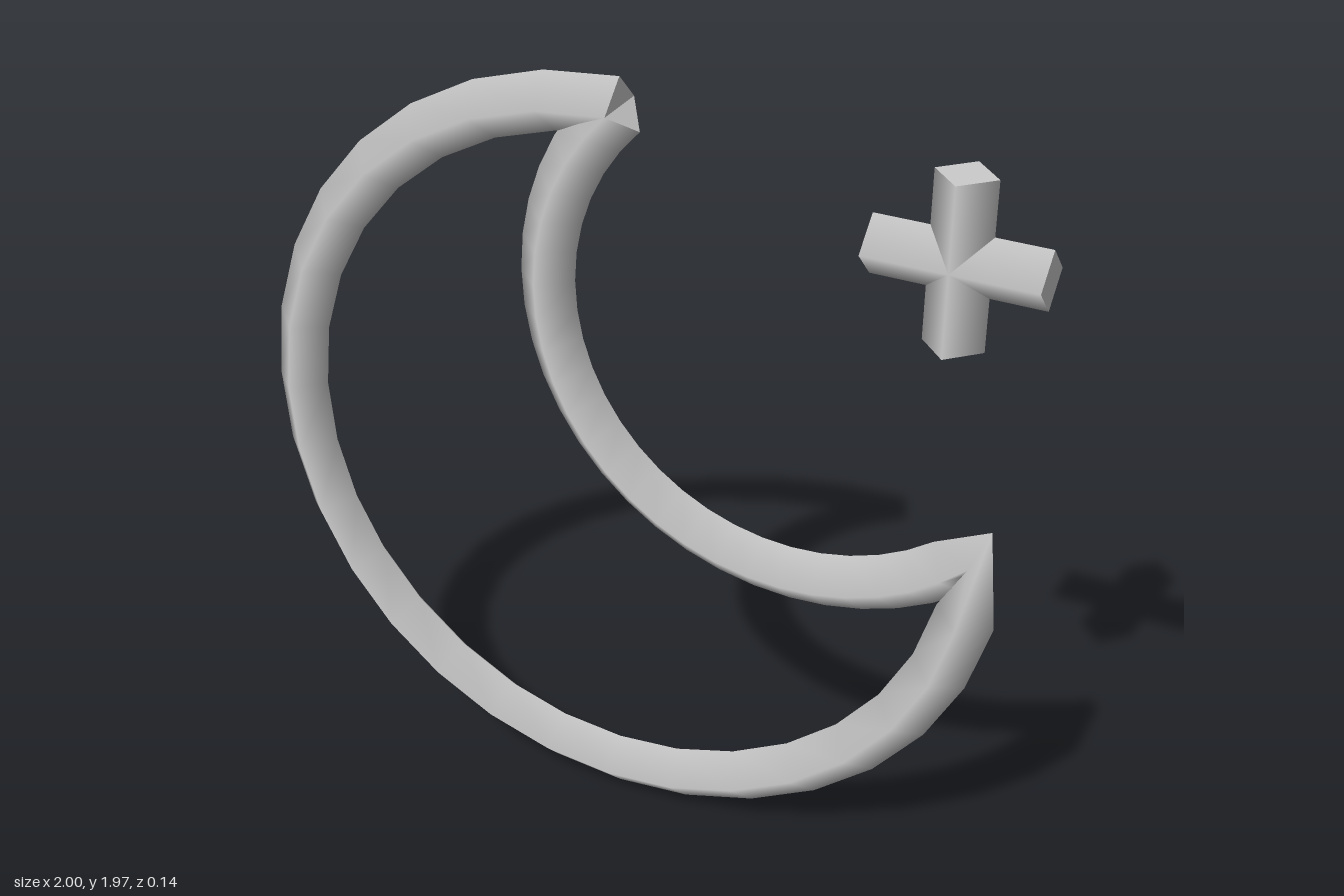
import * as THREE from 'three';

const R = 0.072; // bar radius (four-sided section)

// Crescent path: three-quarter outer arc, then half-circle inner arc
class CrescentCurve extends THREE.Curve {
  angle(u) {
    return u <= 0.5 ? Math.PI * (0.5 + 3 * u) : -Math.PI * (0.25 + (u - 0.5) * 2);
  }
  getPoint(u, target = new THREE.Vector3()) {
    const a = this.angle(u), outer = u <= 0.5;
    const r = outer ? 0.913 : 0.645;
    return target.set((outer ? -0.015 : 0.441) + r * Math.cos(a),
      (outer ? 0.986 : 1.443) + r * Math.sin(a), 0);
  }
  getTangent(u, target = new THREE.Vector3()) {
    // mitred at the sharp lower tip
    if (Math.abs(u - 0.5) < 1e-6) return target.set(-Math.SQRT1_2, 1 - Math.SQRT1_2, 0).normalize();
    const a = this.angle(u), s = u < 0.5 ? 1 : -1;
    return target.set(-s * Math.sin(a), s * Math.cos(a), 0);
  }
  getPointAt(u, target) { return this.getPoint(u, target); }
  getTangentAt(u, target) { return this.getTangent(u, target); }
}

export function createModel() {
  const group = new THREE.Group();
  const grey = new THREE.MeshStandardMaterial({ color: 0xcccccc });
  grey.name = 'light grey';

  const add = (name, geometry, x = 0, y = 0, rotZ = 0) => {
    const mesh = new THREE.Mesh(geometry, grey);
    mesh.name = name;
    mesh.position.set(x, y, 0);
    mesh.rotation.z = rotZ;
    group.add(mesh);
  };

  // Crescent outline
  const path = new CrescentCurve();
  add('crescent', new THREE.TubeGeometry(path, 48, R, 4, false));

  // Flat ends at the open upper tip
  const cap = new THREE.CircleGeometry(R, 4).rotateY(Math.PI / 2);
  const start = path.getPoint(0), end = path.getPoint(1);
  add('outerArcEnd', cap, start.x, start.y);
  add('innerArcEnd', cap, end.x, end.y, Math.PI / 4);

  // Small cross star
  const bar = new THREE.CylinderGeometry(R, R, 0.405, 4);
  add('starUpright', bar, 0.797, 1.7);
  add('starCrossbar', bar, 0.797, 1.7, Math.PI / 2);

  return group;
}
